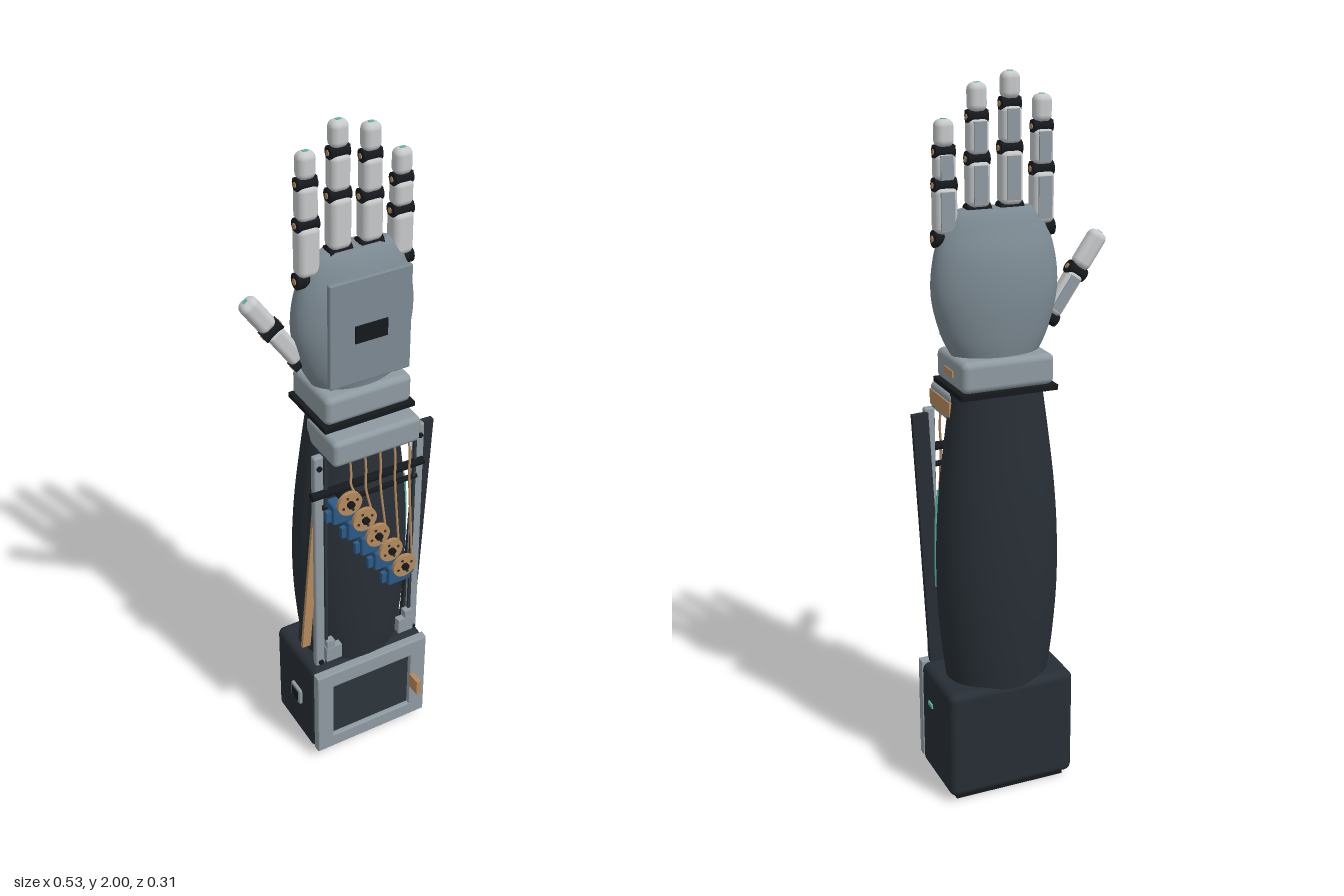
import * as THREE from 'three';
import { RoundedBoxGeometry } from 'three/addons/geometries/RoundedBoxGeometry.js';

const CX = 0.052; // centre line of the arm

export function createModel() {
  const mat = (name, color, side = THREE.FrontSide) => {
    const m = new THREE.MeshStandardMaterial({ color, side });
    m.name = name;
    return m;
  };
  const shell = mat('dark shell', 0x272e35);
  const black = mat('black rubber', 0x15191d);
  const screen = mat('panel charcoal', 0x2c343b);
  const grey = mat('palm grey', 0x7c8a93);
  const silver = mat('frame silver', 0x8e9aa1);
  const white = mat('finger white', 0xc6c8c9);
  const tan = mat('bronze', 0xb5895a);
  const blue = mat('servo blue', 0x2b5a86);
  const teal = mat('teal light', 0x55b8a2);

  const root = new THREE.Group();
  root.name = 'roboticArm';

  const add = (name, geo, m, x = 0, y = 0, z = 0, parent = root) => {
    const mesh = new THREE.Mesh(geo, m);
    mesh.name = name;
    mesh.position.set(x, y, z);
    parent.add(mesh);
    return mesh;
  };
  const box = (name, m, w, h, d, x, y, z, parent) => add(name, new THREE.BoxGeometry(w, h, d), m, x, y, z, parent);
  const rbox = (name, m, w, h, d, r, x, y, z, parent) =>
    add(name, new RoundedBoxGeometry(w, h, d, 3, r), m, x, y, z, parent);
  const rod = (name, m, r, len, axis, x, y, z, parent) => {
    const g = new THREE.CylinderGeometry(r, r, len, 20);
    if (axis === 'x') g.rotateZ(Math.PI / 2);
    if (axis === 'z') g.rotateX(Math.PI / 2);
    return add(name, g, m, x, y, z, parent);
  };
  const tube = (name, m, r, pts) =>
    add(name, new THREE.TubeGeometry(new THREE.CatmullRomCurve3(pts.map(p => new THREE.Vector3(...p))), 20, r, 8), m);

  // Closed body from elliptical sections [y, half width, half depth, centre z]
  const loft = (sections, sides = 48, steps = 40) => {
    const curve = i => new THREE.CatmullRomCurve3(sections.map(s => new THREE.Vector3(s[1], s[0], s[i])));
    const depth = curve(2), mid = curve(3);
    const pos = [], idx = [];
    for (let j = 0; j <= steps; j++) {
      const d = depth.getPoint(j / steps), c = mid.getPoint(j / steps);
      for (let i = 0; i <= sides; i++) {
        const a = (i / sides) * Math.PI * 2;
        pos.push(CX + d.x * Math.sin(a), d.y, c.z + d.z * Math.cos(a));
        if (j < steps && i < sides) {
          const p = j * (sides + 1) + i, q = p + sides + 1;
          idx.push(p, p + 1, q, p + 1, q + 1, q);
        }
      }
    }
    // separate cap vertices keep the end edges sharp
    for (const j of [0, steps]) {
      const s = sections[j ? sections.length - 1 : 0], c = pos.length / 3;
      pos.push(CX, s[0], s[3]);
      for (let i = 0; i <= sides; i++) {
        const a = (i / sides) * Math.PI * 2;
        pos.push(CX + s[1] * Math.sin(a), s[0], s[3] + s[2] * Math.cos(a));
        if (i < sides) j ? idx.push(c, c + 1 + i, c + 2 + i) : idx.push(c, c + 2 + i, c + 1 + i);
      }
    }
    const g = new THREE.BufferGeometry();
    g.setAttribute('position', new THREE.Float32BufferAttribute(pos, 3));
    g.setIndex(idx);
    g.computeVertexNormals();
    return g;
  };

  // Base housing with framed front door
  rbox('baseHousing', shell, 0.377, 0.325, 0.235, 0.022, CX, 0.178, -0.027);
  box('baseFoot', black, 0.33, 0.02, 0.19, CX, 0.01, -0.027);
  const frame = new THREE.Shape();
  const x0 = -0.183, x1 = 0.183, y0 = 0.035, y1 = 0.335;
  frame.moveTo(x0, y0).lineTo(x1, y0).lineTo(x1, y1).lineTo(x0, y1).closePath();
  frame.holes.push(new THREE.Path().moveTo(-0.137, 0.074).lineTo(-0.137, 0.287).lineTo(0.137, 0.287).lineTo(0.137, 0.074).closePath());
  add('doorFrame', new THREE.ExtrudeGeometry(frame, { depth: 0.02, bevelThickness: 0.004, bevelSize: 0.004, bevelSegments: 2 }), silver, CX, 0, 0.092);
  box('door', screen, 0.28, 0.22, 0.012, CX, 0.18, 0.096);
  box('doorLatch', tan, 0.016, 0.05, 0.045, 0.193, 0.18, 0.135);
  rbox('sidePort', silver, 0.014, 0.055, 0.055, 0.004, -0.139, 0.18, -0.01);
  box('sidePortSocket', black, 0.006, 0.036, 0.036, -0.1455, 0.18, -0.01);
  box('baseLight', teal, 0.006, 0.012, 0.03, 0.242, 0.24, 0.01);

  // Forearm
  add('forearm', loft([
    [0.33, 0.148, 0.118, -0.026], [0.45, 0.163, 0.124, -0.028], [0.6, 0.174, 0.127, -0.03],
    [0.75, 0.174, 0.124, -0.03], [0.9, 0.164, 0.115, -0.03], [1.05, 0.146, 0.1, -0.03], [1.18, 0.128, 0.086, -0.03]]), shell);
  tube('forearmLight', teal, 0.006, [[0.209, 0.9, 0.002], [0.217, 0.82, 0], [0.221, 0.72, -0.002], [0.22, 0.615, 0]]);

  // Front rails, feet and crossbars
  for (const s of [-1, 1]) {
    rbox('rail', silver, 0.03, 0.76, 0.022, 0.006, CX + s * 0.157, 0.735, 0.07);
    box('railInset', screen, 0.008, 0.7, 0.008, CX + s * 0.14, 0.76, 0.083);
    box('railFoot', silver, 0.05, 0.05, 0.022, CX + s * 0.122, 0.405, 0.089);
    box('railFootStep', silver, 0.025, 0.03, 0.022, CX + s * 0.132, 0.44, 0.087);
    for (const y of [0.37, 1.08]) rod('railScrew', black, 0.008, 0.008, 'z', CX + s * 0.157, y, 0.082);
  }
  rod('crossbar', black, 0.012, 0.35, 'x', 0.043, 0.995, 0.085);
  rod('upperCrossbar', black, 0.008, 0.3, 'x', CX, 0.945, 0.08);

  // Tilted side covers behind the rails
  const coverR = box('sideCover', shell, 0.045, 0.75, 0.016, 0.222, 0.73, 0.055);
  coverR.rotation.z = -0.05;
  const coverL = box('sideCover', shell, 0.045, 0.6, 0.016, -0.11, 0.75, 0.05);
  coverL.rotation.z = -0.085;
  const strip = box('coverTrim', tan, 0.026, 0.56, 0.01, -0.122, 0.72, 0.064);
  strip.rotation.z = -0.085;

  // Five servo winches with tendons
  const winches = [[-0.042, 0.976], [0.005, 0.903], [0.048, 0.83], [0.092, 0.758], [0.138, 0.682]];
  winches.forEach(([x, y], i) => {
    const g = new THREE.Group();
    g.name = 'winch';
    g.position.set(x, y, 0);
    root.add(g);
    rbox('servo', blue, 0.075, 0.065, 0.045, 0.006, -0.005, -0.04, 0.1, g);
    box('servoTab', blue, 0.105, 0.034, 0.014, -0.005, -0.046, 0.104, g);
    rod('servoShaft', black, 0.014, 0.05, 'z', 0, 0, 0.105, g);
    rod('spool', tan, 0.037, 0.011, 'z', 0, 0, 0.133, g);
    rod('spoolHub', black, 0.011, 0.012, 'z', 0, 0, 0.141, g);
    for (let k = 0; k < 4; k++) {
      const a = k * Math.PI / 2 + 0.4;
      rod('spoolHole', screen, 0.004, 0.003, 'z', 0.023 * Math.cos(a), 0.023 * Math.sin(a), 0.139, g);
    }
    const tx = -0.018 + i * 0.046;
    tube('tendon', tan, 0.0035, [[x + 0.03, y, 0.128], [tx - 0.005, Math.max(y + 0.04, 0.99), 0.108], [tx, 1.04, 0.1], [tx, 1.11, 0.09]]);
  });

  // Wrist
  rbox('wristBar', silver, 0.268, 0.08, 0.16, 0.015, CX, 1.133, 0.042);
  box('wristSidePlate', tan, 0.008, 0.042, 0.145, 0.186, 1.133, 0.037);
  box('wristUnderPlate', tan, 0.23, 0.01, 0.13, CX, 1.092, 0.035);
  rod('wristCore', black, 0.08, 0.08, 'y', CX, 1.17, -0.025);
  box('wristSeal', black, 0.275, 0.014, 0.205, CX, 1.19, -0.022);
  rbox('wristCuff', silver, 0.262, 0.085, 0.195, 0.018, CX, 1.239, -0.022);
  box('cuffMark', tan, 0.006, 0.018, 0.06, 0.1835, 1.237, -0.022);

  // Palm
  add('palm', loft([
    [1.27, 0.118, 0.075, -0.02], [1.33, 0.148, 0.085, -0.02], [1.44, 0.175, 0.091, -0.02], [1.54, 0.168, 0.079, -0.02],
    [1.61, 0.145, 0.056, -0.018], [1.645, 0.122, 0.04, -0.018], [1.66, 0.1, 0.03, -0.018]]), grey);
  const plate = rbox('palmPlate', grey, 0.24, 0.305, 0.016, 0.004, CX, 1.462, 0.068);
  box('palmDisplay', black, 0.095, 0.05, 0.006, 0, -0.005, 0.009, plate);

  // One finger segment with its hinge at the lower end
  const segment = (g, y0, y1, w, tip) => {
    const h = y1 - y0, d = w * 0.82;
    rod('hinge', black, w * 0.36, w * 1.05, 'x', 0, y0, 0, g);
    for (const s of [-1, 1]) rod('hingeBolt', tan, w * 0.14, 0.006, 'x', s * w * 0.54, y0, 0, g);
    for (const s of [-1, 1]) box('hingeLink', black, 0.006, 0.03, w * 0.4, s * w * 0.5, y0, 0, g);
    const r = w * (tip ? 0.36 : 0.3);
    rbox('fingerSegment', white, w, h - 0.012, d, r, 0, (y0 + y1) / 2 + 0.004, 0, g);
    if (tip) box('fingertipLight', teal, 0.014, 0.004, 0.01, 0, y1 - 0.003, 0, g);
    else box('backPlate', silver, w * 0.6, h * 0.72, 0.006, 0, (y0 + y1) / 2 + 0.004, -d / 2, g);
  };
  const fingers = [
    [-0.082, 1.598, 1.75, 1.857, 1.94], [0.007, 1.652, 1.808, 1.918, 2.0],
    [0.097, 1.652, 1.785, 1.89, 1.975], [0.187, 1.59, 1.725, 1.808, 1.89]];
  for (const [x, a, b, c, d] of fingers) {
    const g = new THREE.Group();
    g.name = 'finger';
    g.position.set(x, 0, -0.016);
    root.add(g);
    rod('knuckle', black, 0.02, 0.05, 'y', 0, a - 0.012, 0, g);
    segment(g, a, b, 0.062, false);
    segment(g, b, c, 0.056, false);
    segment(g, c, d, 0.05, true);
  }

  // Thumb
  const thumb = new THREE.Group();
  thumb.name = 'thumb';
  thumb.position.set(-0.095, 1.35, -0.027);
  thumb.rotation.z = 0.6;
  root.add(thumb);
  segment(thumb, 0.01, 0.15, 0.05, false);
  segment(thumb, 0.15, 0.274, 0.053, true);

  return root;
}
